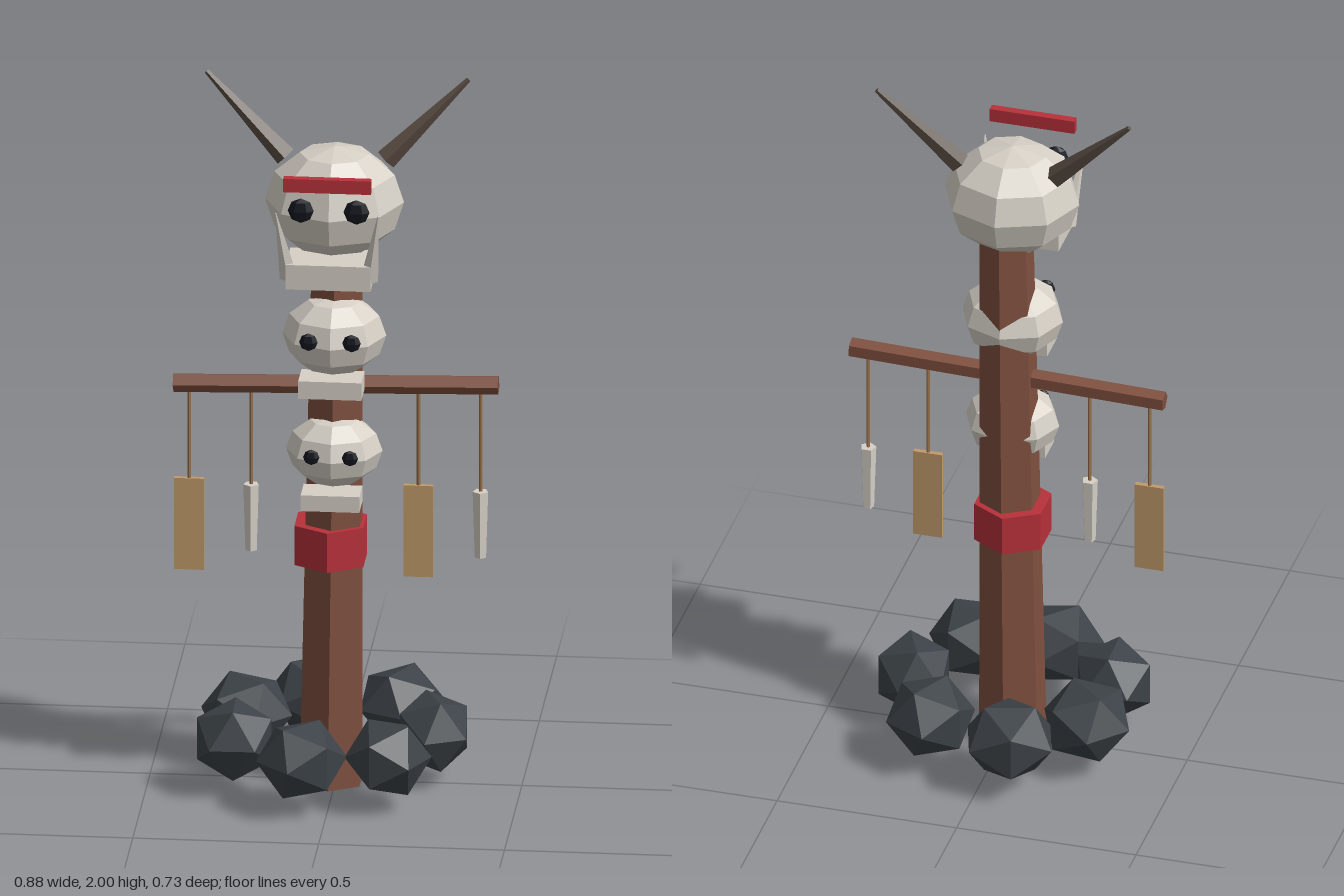
import * as THREE from 'three';

const material = (name, color, flatShading = true) => {
  const m = new THREE.MeshStandardMaterial({ color, flatShading });
  m.name = name;
  return m;
};

export function createModel() {
  const wood = material('wood', 0x80503f);
  const bone = material('bone', 0xd6d0c6);
  const horn = material('horn', 0x5a4d43);
  const red = material('red cloth', 0xb8303a);
  const dark = material('eye black', 0x14171f);
  const rock = material('rock', 0x3c4247);
  const tan = material('tan wood', 0xc19a6b);
  const rope = material('rope', 0x94704a);

  const model = new THREE.Group();
  model.name = 'skullTotem';

  const add = (parent, name, geometry, mat, x = 0, y = 0, z = 0) => {
    const mesh = new THREE.Mesh(geometry, mat);
    mesh.name = name;
    mesh.position.set(x, y, z);
    parent.add(mesh);
    return mesh;
  };

  // Tapered rod running from point a to point b
  const rod = (parent, name, a, b, ra, rb, sides, mat) => {
    const from = new THREE.Vector3(...a), to = new THREE.Vector3(...b);
    const dir = to.clone().sub(from);
    const mesh = add(parent, name, new THREE.CylinderGeometry(rb, ra, dir.length(), sides), mat);
    mesh.position.copy(from).add(to).multiplyScalar(0.5);
    mesh.quaternion.setFromUnitVectors(new THREE.Vector3(0, 1, 0), dir.normalize());
    return mesh;
  };

  // Leaning hexagonal post with its cloth band
  rod(model, 'post', [-0.013, 0, 0.004], [0.004, 1.6, 0], 0.093, 0.074, 6, wood);
  add(model, 'clothBand', new THREE.CylinderGeometry(0.107, 0.107, 0.112, 6), red, -0.014, 0.684, 0.001);

  // Ring of stones: x, z, radius, turn
  [
    [-0.078, -0.255, 0.13, 0.3], [0.158, -0.2, 0.124, 1.1], [0.262, 0, 0.112, 2.0],
    [0.16, 0.213, 0.117, 2.7], [-0.07, 0.25, 0.124, 0.8], [-0.263, 0.113, 0.117, 1.6],
    [-0.25, -0.105, 0.127, 2.4],
  ].forEach(([x, z, r, turn]) => {
    const stone = add(model, 'stone', new THREE.IcosahedronGeometry(r, 0), rock, x, 0.147, z);
    stone.scale.y = 0.097 / (0.851 * r);
    stone.rotation.y = turn;
  });

  // Skulls: cranium centre and radii, jaw box, eyes
  const skull = (name, s) => {
    const g = new THREE.Group();
    g.name = name;
    model.add(g);
    add(g, 'cranium', new THREE.SphereGeometry(1, 8, 6), bone, 0, s.y, s.z).scale.set(...s.radii);
    const [w, h, d, jy, jz] = s.jaw;
    add(g, 'jaw', new THREE.BoxGeometry(w, h, d), bone, 0, jy, jz);
    const [ex, ey, ez, er] = s.eye;
    for (const side of [-1, 1]) {
      const eye = add(g, 'eye', new THREE.SphereGeometry(er, 6, 4), dark, side * ex, ey, ez);
      eye.scale.z = 0.55;
    }
    return g;
  };
  skull('lowerSkull', {
    y: 0.96, z: 0.047, radii: [0.13, 0.098, 0.117],
    jaw: [0.158, 0.045, 0.09, 0.85, 0.13], eye: [0.052, 0.975, 0.156, 0.022],
  });
  skull('middleSkull', {
    y: 1.29, z: 0.048, radii: [0.14, 0.11, 0.132],
    jaw: [0.17, 0.05, 0.095, 1.175, 0.133], eye: [0.058, 1.31, 0.173, 0.025],
  });
  const head = skull('topSkull', {
    y: 1.67, z: 0.043, radii: [0.187, 0.155, 0.174],
    jaw: [0.228, 0.07, 0.135, 1.515, 0.163], eye: [0.075, 1.7, 0.213, 0.035],
  });

  // Horns, tusks and brow strip of the top skull
  for (const side of [-1, 1]) {
    rod(head, 'horn', [side * 0.134, 1.776, 0], [side * 0.352, 1.994, -0.046], 0.031, 0.007, 5, horn);
    rod(head, 'tusk', [side * 0.108, 1.505, 0.195], [side * 0.138, 1.708, 0.26], 0.026, 0.002, 5, bone);
  }
  add(head, 'browStrip', new THREE.BoxGeometry(0.236, 0.038, 0.023), red, 0, 1.787, 0.247);

  // Slightly tilted crossbar
  const barY = (x) => 1.131 + 0.026 * x;
  rod(model, 'crossbar', [-0.437, barY(-0.437), 0], [0.437, barY(0.437), 0], 0.027, 0.027, 5, wood);

  // Hanging wooden tags and bones on cords
  for (const x of [-0.395, 0.222]) {
    rod(model, 'cord', [x, 0.84, 0], [x, barY(x), 0], 0.005, 0.005, 4, rope);
    add(model, 'woodenTag', new THREE.BoxGeometry(0.08, 0.26, 0.014), tan, x, 0.718, 0);
  }
  for (const x of [-0.228, 0.389]) {
    rod(model, 'cord', [x, 0.82, 0], [x, barY(x), 0], 0.005, 0.005, 4, rope);
    rod(model, 'hangingBone', [x, 0.648, 0], [x, 0.836, 0], 0.016, 0.022, 5, bone);
  }

  return model;
}
